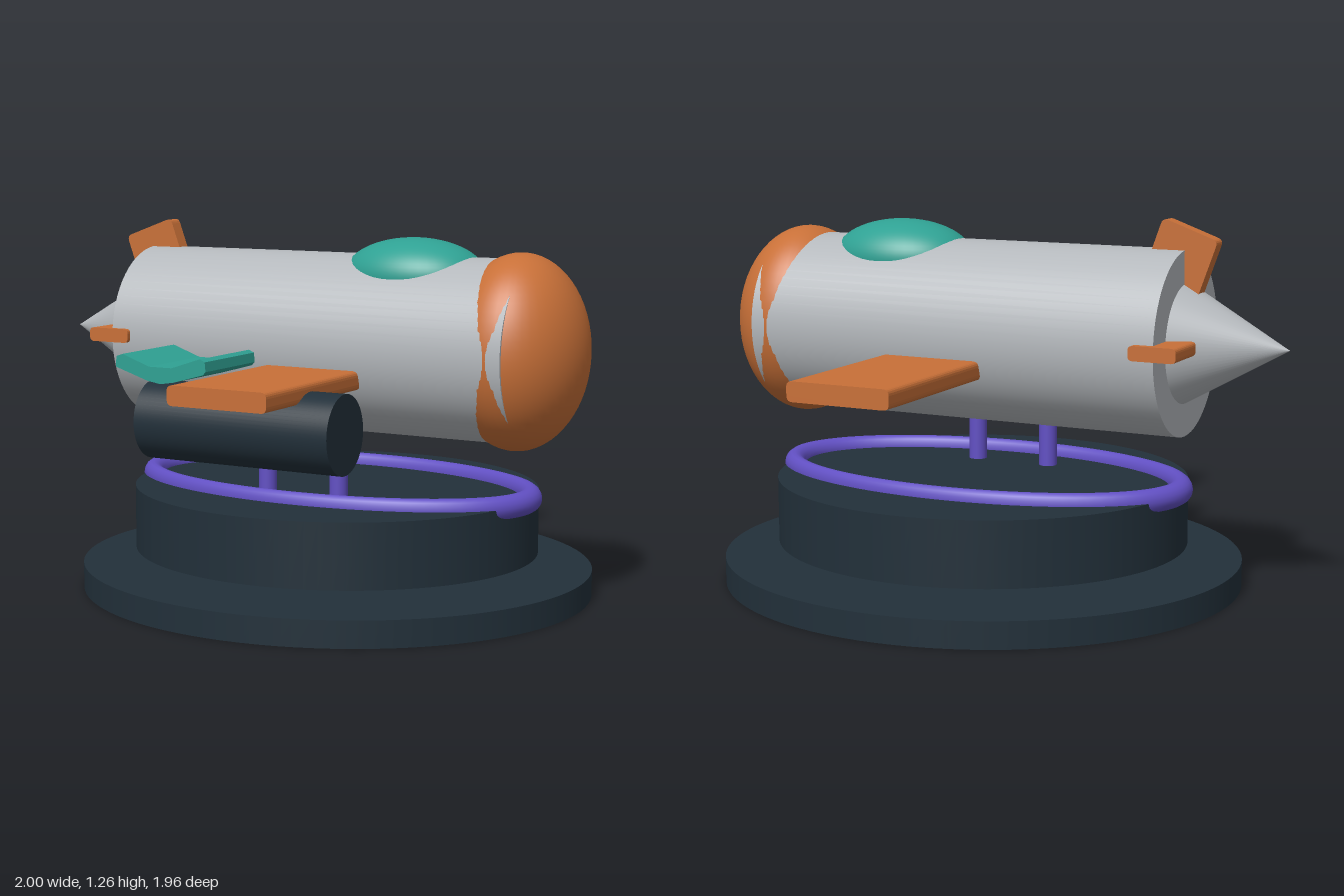
import * as THREE from 'three';

const material = (name, color, options = {}) => {
  const m = new THREE.MeshStandardMaterial({ color, ...options });
  m.name = name;
  return m;
};

export function createModel() {
  const grey = material('hull grey', 0xb4b8bc);
  const orange = material('orange', 0xc87038);
  const teal = material('teal', 0x2fa193);
  const dark = material('dark slate', 0x22303a);
  const purple = material('purple', 0x6250c4);

  const model = new THREE.Group();
  model.name = 'rocketPlaneOnStand';
  const CX = 0.09, CZ = -0.113, HULL_Y = 0.86; // shared centre lines
  const SQUASH = 0.943; // round parts are slightly narrower in z

  const add = (name, geometry, mat, x, y, z) => {
    const mesh = new THREE.Mesh(geometry, mat);
    mesh.name = name;
    mesh.position.set(x, y, z);
    model.add(mesh);
    return mesh;
  };
  const ellipsoid = (rx, ry, rz) => new THREE.SphereGeometry(1, 48, 32).scale(rx, ry, rz);
  // cylinder or cone lying along x
  const xCylinder = (rPlus, rMinus, length, squash = SQUASH) =>
    new THREE.CylinderGeometry(rPlus, rMinus, length, 64).rotateZ(-Math.PI / 2).scale(1, 1, squash);
  // shape pushed along z, centred on z = 0
  const extrudeZ = (shape, depth) =>
    new THREE.ExtrudeGeometry(shape, { depth, bevelEnabled: false, curveSegments: 5 })
      .translate(0, 0, -depth / 2);
  // bar along z with a rounded rectangular profile
  const roundedBar = (w, h, depth, r) => {
    const s = new THREE.Shape(), a = w / 2, b = h / 2;
    s.moveTo(-a + r, -b);
    s.lineTo(a - r, -b).quadraticCurveTo(a, -b, a, -b + r);
    s.lineTo(a, b - r).quadraticCurveTo(a, b, a - r, b);
    s.lineTo(-a + r, b).quadraticCurveTo(-a, b, -a, b - r);
    s.lineTo(-a, -b + r).quadraticCurveTo(-a, -b, -a + r, -b);
    return extrudeZ(s, depth);
  };

  // Stand: two stacked discs with a small gap
  add('standBase', new THREE.CylinderGeometry(0.897, 0.897, 0.09, 96).scale(1, 1, SQUASH), dark, CX, 0.045, CZ);
  add('standDrum', new THREE.CylinderGeometry(0.71, 0.71, 0.22, 96).scale(1, 1, SQUASH), dark, CX, 0.25, CZ);
  add('standRing', new THREE.TorusGeometry(0.715, 0.04, 16, 96).rotateX(Math.PI / 2).scale(1, 1, 0.552),
    purple, CX, 0.36, CZ);

  // Landing gear
  for (const x of [-0.05, 0.225]) {
    add('gearLeg', new THREE.CylinderGeometry(0.031, 0.031, 0.64, 24), purple, x, 0.43, 0.117);
    add('gearWheel', xCylinder(0.12, 0.12, 0.06), dark, x, 0.205, 0.117);
  }

  // Fuselage
  add('hull', xCylinder(0.305, 0.305, 1.48), grey, 0.09, HULL_Y, CZ);
  add('tailCone', xCylinder(0.196, 0, 0.35), grey, -0.825, HULL_Y, CZ);
  add('nose', ellipsoid(0.225, 0.327, 0.288), orange, 0.775, HULL_Y, CZ);
  add('canopy', ellipsoid(0.25, 0.125, 0.183), teal, 0.39, 1.1, CZ);

  // Wing and tail surfaces
  add('wing', roundedBar(0.36, 0.065, 1.733, 0.02), orange, 0.142, 0.766, -0.111);
  add('tailplane', roundedBar(0.16, 0.048, 0.615, 0.016), orange, -0.655, 0.867, -0.117);
  add('tailFin', roundedBar(0.2, 0.28, 0.052, 0.02), orange, -0.62, 1.1, CZ).rotation.z = THREE.MathUtils.degToRad(20);

  // Side tank
  add('sideTank', xCylinder(0.13, 0.13, 0.715, 0.93), dark, 0.087, 0.64, 0.48);

  // Shallow V-shaped plate floating off the wing tip
  const vee = new THREE.Shape([
    [-0.16, 0.003], [-0.045, -0.033], [0, -0.04], [0.045, -0.033], [0.15, -0.004], [0.16, 0.006],
    [0.157, 0.035], [0.14, 0.043], [0.04, 0.01], [-0.04, 0.01], [-0.135, 0.043], [-0.157, 0.035],
  ].map(([x, y]) => new THREE.Vector2(x, y)));
  add('veePlate', extrudeZ(vee, 0.28), teal, 0.088, 0.876, 0.838);

  return model;
}
